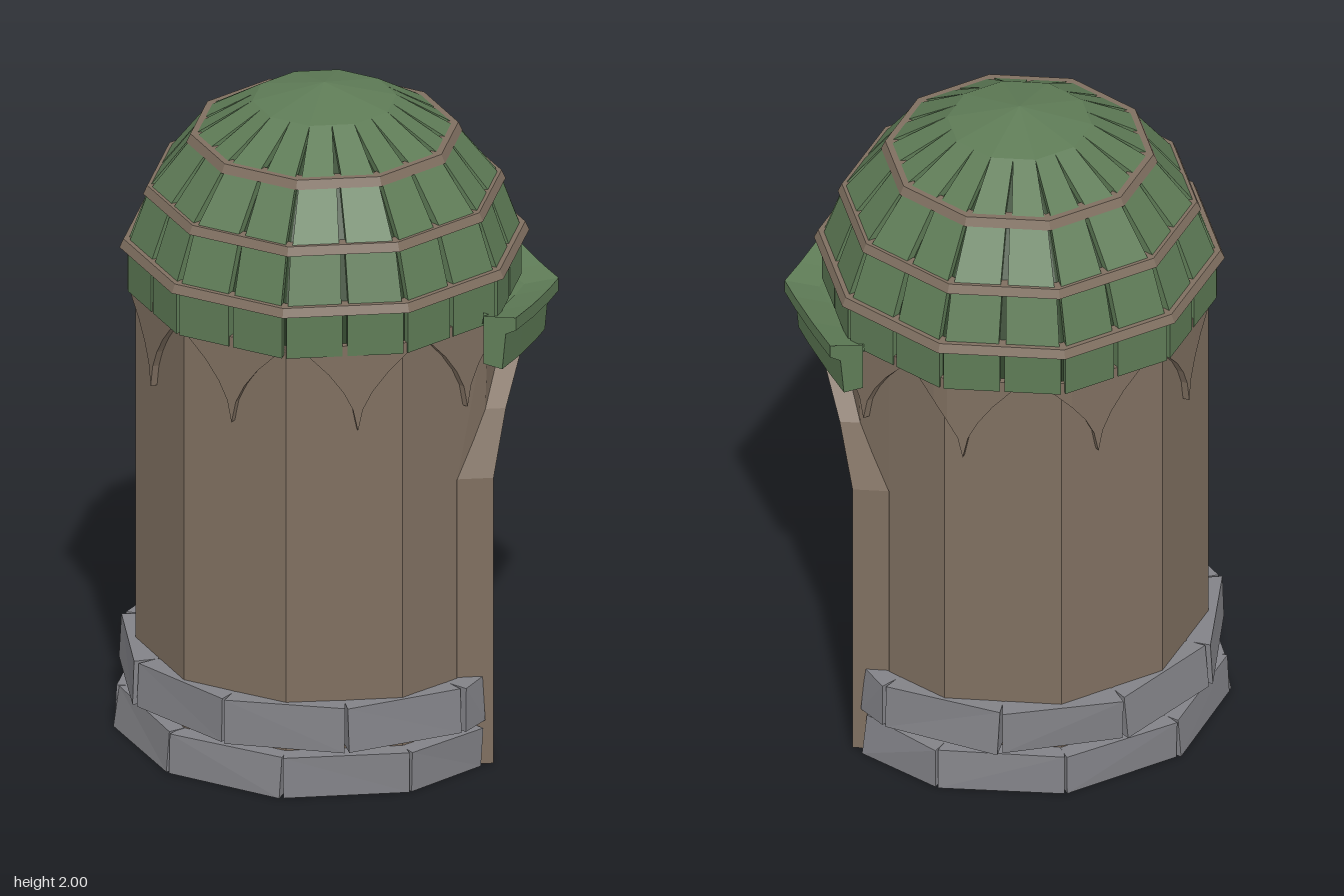
import * as THREE from 'three';

const CX = -0.042; // tower axis
const mat = (name, color) => {
  const m = new THREE.MeshStandardMaterial({ color });
  m.name = name;
  return m;
};

// Point at radius r, angle in degrees (0 = +x, 90 = +z), height y
const polar = (r, deg, y) => {
  const a = THREE.MathUtils.degToRad(deg);
  return [CX + r * Math.cos(a), y, r * Math.sin(a)];
};
const mix = (a, b, f) => a.map((v, i) => v + (b[i] - v) * f);

// Flat-shaded solid lofted through cross-sections; loop joins last to first
function solid(secs, loop = false) {
  const tris = [];
  const n = secs[0].length;
  const last = secs.length - 1;
  for (let i = 0; i < (loop ? last + 1 : last); i++) {
    const s = secs[i], t = secs[(i + 1) % secs.length];
    for (let j = 0; j < n; j++) {
      const k = (j + 1) % n;
      tris.push([s[j], s[k], t[k]], [s[j], t[k], t[j]]);
    }
  }
  if (!loop) {
    for (let k = 1; k < n - 1; k++) {
      tris.push([secs[0][0], secs[0][k + 1], secs[0][k]]);
      tris.push([secs[last][0], secs[last][k], secs[last][k + 1]]);
    }
  }
  // Turn the faces outward
  let volume = 0;
  for (const [a, b, c] of tris) {
    volume += new THREE.Vector3(...a).dot(new THREE.Vector3(...b).cross(new THREE.Vector3(...c)));
  }
  if (volume < 0) tris.forEach((t) => t.reverse());
  const g = new THREE.BufferGeometry();
  g.setAttribute('position', new THREE.Float32BufferAttribute(tris.flat(2), 3));
  g.computeVertexNormals();
  return g;
}

// Ten-sided turned shape with corners on the x axis
function decagon(profile) {
  const pts = profile.map(([r, y]) => new THREE.Vector2(r, y));
  const g = new THREE.LatheGeometry(pts, 10).rotateY(Math.PI / 2).translate(CX, 0, 0).toNonIndexed();
  g.computeVertexNormals();
  return g;
}

export function createModel() {
  const model = new THREE.Group();
  model.name = 'domedTower';
  const brown = mat('brown wood', 0x7f6f60);
  const green = mat('green roof', 0x5e7b56);
  const dark = mat('dark green grooves', 0x34482f);
  const grey = mat('grey stone', 0x828287);
  const add = (name, geo, material, parent = model) => {
    const m = new THREE.Mesh(geo, material);
    m.name = name;
    parent.add(m);
    return m;
  };
  const group = (name) => {
    const g = new THREE.Group();
    g.name = name;
    model.add(g);
    return g;
  };

  // Thick wall, open toward +x
  const column = ([ox, oz], [ix, iz]) => [[ox, 0, oz], [ox, 1.4, oz], [ix, 1.4, iz], [ix, 0, iz]];
  const wall = [column([0.3, 0.4], [0.27, 0.349])];
  for (let a = 72; a <= 288; a += 36) {
    const o = polar(0.55, a, 0), i = polar(0.49, a, 0);
    wall.push(column([o[0], o[2]], [i[0], i[2]]));
  }
  wall.push(column([0.3, -0.4], [0.27, -0.349]));
  add('wall', solid(wall), brown);

  // Wall above the doorway: z, bottom y, bottom x, top x
  const over = [[0.4, 0.9, 0.3, 0.3], [0.33, 1.08, 0.39, 0.4], [0.19, 1.19, 0.445, 0.45], [0, 1.2, 0.47, 0.505]];
  const mirrorZ = (rows) => [...rows, ...rows.slice(0, -1).reverse().map(([z, ...r]) => [-z, ...r])];
  add('wallOverDoor', solid(mirrorZ(over).map(([z, y, xb, xt]) =>
    [[xb, y, z], [xt, 1.4, z], [xt - 0.06, 1.4, z], [xb - 0.06, y, z]])), brown);

  // Arched door frame: outer z, outer y, inner |z|, inner y, back x, front x
  const frame = [
    [0.395, 0, 0.34, 0, 0.3, 0.407], [0.395, 0.9, 0.34, 0.9, 0.3, 0.407],
    [0.33, 1.09, 0.285, 1.06, 0.365, 0.45], [0.19, 1.21, 0.14, 1.165, 0.43, 0.51],
    [0, 1.23, 0, 1.18, 0.45, 0.53],
  ];
  add('doorFrame', solid(mirrorZ(frame).map(([z, y, zi, yi, xb, xf]) => {
    const zs = Math.sign(z) * zi;
    return [[xb, y, z], [xf, y, z], [xf, yi, zs], [xb, yi, zs]];
  })), brown);

  // Ceiling seen from inside
  const ceiling = new THREE.CircleGeometry(0.56, 10).rotateX(Math.PI / 2).translate(CX, 1.385, 0);
  add('ceiling', ceiling, brown);

  // Pointed hangings under the dome, wrapped on the wall
  const wallRadius = (deg) => {
    const d = ((deg % 36) + 36) % 36 - 18;
    return 0.523 / Math.cos(THREE.MathUtils.degToRad(d));
  };
  const hangings = group('hangings');
  for (const a of [47, 86, 126, 164, 200, 240, 282, 319]) {
    const secs = [-1, -0.6, -0.3, -0.1, 0, 0.1, 0.3, 0.6, 1].map((u) => {
      const deg = a + u * 15, r = wallRadius(deg);
      const y = 1.13 + 0.24 * Math.pow(Math.abs(u), 0.55);
      return [polar(r + 0.02, deg, y), polar(r + 0.02, deg, 1.4), polar(r - 0.02, deg, 1.4), polar(r - 0.02, deg, y)];
    });
    add('hanging', solid(secs), brown, hangings);
  }

  // Dome: recessed core, two panels per face and row, smooth cap
  const rows = [[0.575, 1.37], [0.575, 1.52], [0.512, 1.69], [0.388, 1.845], [0.21, 1.95]];
  add('domeCore', decagon([[0.5, 1.375], [0.55, 1.375], [0.55, 1.515], [0.488, 1.68], [0.367, 1.83], [0.18, 1.935]]), dark);
  add('domeCap', decagon([[0.21, 1.95], [0, 2]]), green);
  const panels = group('domePanels');
  for (let k = 0; k < 4; k++) {
    const [r0, y0] = rows[k], [r1, y1] = rows[k + 1];
    const gap0 = k === 0 ? 0.007 : 0.011, gap1 = [0.007, 0.006, 0.005, 0][k];
    for (let i = 0; i < 20; i++) {
      const a = Math.floor(i / 2) * 36, h = (i % 2) / 2;
      const edge = (r, y, gap) => {
        const g = gap / (0.618 * r);
        const at = (rr, yy, f) => mix(polar(rr, a, yy), polar(rr, a + 36, yy), f);
        const f0 = h + g, f1 = h + 0.5 - g, yi = k === 0 ? y : y - 0.02;
        return [at(r, y, f0), at(r, y, f1), at(r - 0.035, yi, f1), at(r - 0.035, yi, f0)];
      };
      add('domePanel', solid([edge(r0, y0, gap0), edge(r1, y1, gap1)]), green, panels);
    }
  }

  // Wooden hoops over the panel joints
  for (const [r, y] of [[0.597, 1.52], [0.528, 1.685], [0.402, 1.842]]) {
    const secs = [];
    for (let a = 0; a < 360; a += 36) {
      secs.push([polar(r, a, y - 0.013), polar(r - 0.012, a, y + 0.013), polar(r - 0.05, a, y + 0.013), polar(r - 0.05, a, y - 0.013)]);
    }
    add('domeHoop', solid(secs, true), brown);
  }

  // Awning over the door, sagging toward the middle
  const lip = [[0.42, 1.36], [0.42, 1.21], [0.6, 1.19], [0.61, 1.3], [0.64, 1.31], [0.64, 1.35], [0.54, 1.335]];
  add('awning', solid([-0.415, -0.25, -0.09, 0, 0.09, 0.25, 0.415].map((z) => {
    const t = Math.abs(z) / 0.415;
    return lip.map(([x, y]) => [x - t * (x < 0.5 ? 0.045 : 0.17), y + 0.06 * Math.pow(t, 1.5), z]);
  })), green);

  // Two staggered courses of rough stones
  let seed = 7;
  const jitter = (s) => {
    seed = (seed * 16807) % 2147483647;
    return (seed / 2147483647 - 0.5) * 2 * s;
  };
  const stones = group('stones');
  const stone = (deg, side, t0, t1, apothem, y0, y1) => {
    const a = THREE.MathUtils.degToRad(deg);
    const at = (d, t, y) => [CX + d * Math.cos(a) - t * Math.sin(a), y, side * (d * Math.sin(a) + t * Math.cos(a))];
    const secs = [t0, t1].map((t) => [
      at(apothem + jitter(0.008), t, y0), at(apothem - 0.006 + jitter(0.01), t, y1 + jitter(0.002)),
      at(0.5, t * 0.92, y1), at(0.5, t * 0.92, y0),
    ]);
    add('stone', solid(secs), grey, stones);
  };
  for (const side of [1, -1]) {
    for (const a of [54, 90, 126, 162]) stone(a, side, a === 54 ? -0.09 : -0.184, 0.184, 0.582, 0, 0.124);
    for (const a of [36, 72, 108, 144]) stone(a, side, a === 36 ? 0.075 : -0.178, 0.178, 0.572, 0.14, 0.275);
  }
  stone(180, 1, -0.178, 0.178, 0.572, 0.14, 0.275);

  return model;
}
